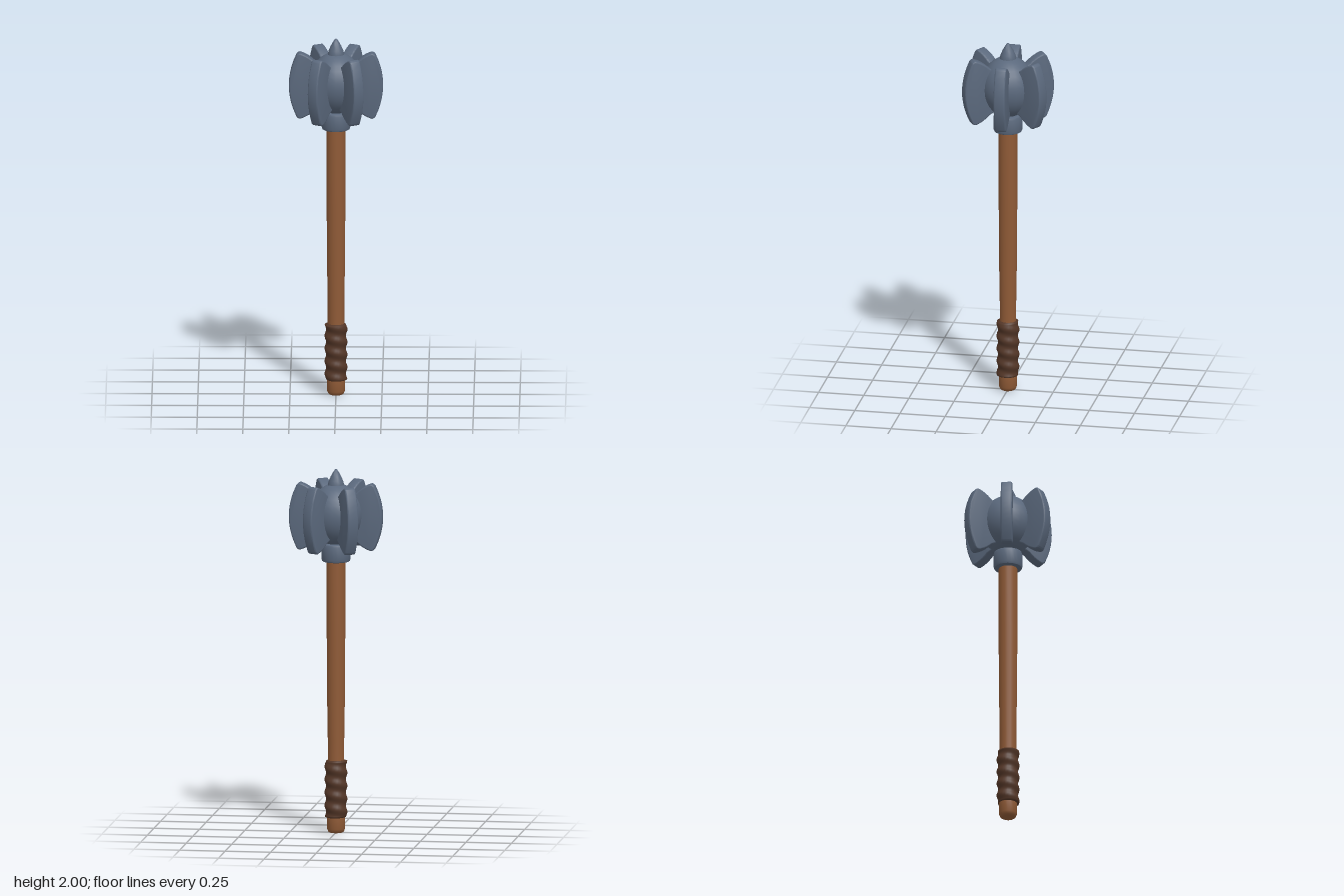
import * as THREE from 'three';
import { mergeVertices, toCreasedNormals } from 'three/addons/utils/BufferGeometryUtils.js';

const mat = (name, color) => {
  const m = new THREE.MeshStandardMaterial({ color });
  m.name = name;
  return m;
};

export function createModel() {
  const iron = mat('blue grey iron', 0x5a687c);
  const wood = mat('brown wood', 0x8f5a36);
  const leather = mat('dark leather', 0x533627);

  const group = new THREE.Group();
  group.name = 'mace';
  const add = (name, geometry, material) => {
    const mesh = new THREE.Mesh(geometry, material);
    mesh.name = name;
    group.add(mesh);
    return mesh;
  };
  const lathe = (points, segments) => toCreasedNormals(
    new THREE.LatheGeometry(points.map(([r, y]) => new THREE.Vector2(r, y)), segments), 0.75);

  // Shaft, slightly waisted above the grip, with a rounded butt
  add('shaft', lathe([[0, 0], [0.034, 0], [0.043, 0.006], [0.049, 0.022], [0.05, 0.08], [0.045, 0.3],
    [0.045, 0.5], [0.049, 0.75], [0.051, 1.1], [0.051, 1.52], [0, 1.52]], 20), wood);

  // Grip: a tube whose radius follows a spiral wrap, with ends turned in
  const bottom = 0.08, top = 0.4, turns = 4.5;
  let grip = new THREE.CylinderGeometry(1, 1, top - bottom, 24, 48, true);
  grip.translate(0, (top + bottom) / 2, 0);
  grip.deleteAttribute('uv');
  grip.deleteAttribute('normal');
  const p = grip.attributes.position;
  for (let i = 0; i < p.count; i++) {
    const t = (p.getY(i) - bottom) / (top - bottom);
    const angle = Math.atan2(p.getZ(i), p.getX(i));
    const atEnd = t < 0.001 || t > 0.999;
    const r = atEnd ? 0.043 : 0.058 + 0.0045 * Math.cos(angle - t * turns * Math.PI * 2);
    p.setX(i, r * Math.cos(angle));
    p.setZ(i, r * Math.sin(angle));
  }
  grip = mergeVertices(grip);
  grip.computeVertexNormals();
  add('grip', grip, leather);

  // Collar under the head
  add('collar', lathe([[0, 1.49], [0.067, 1.49], [0.075, 1.494], [0.079, 1.505],
    [0.079, 1.575], [0.075, 1.586], [0.067, 1.59], [0, 1.59]], 24), iron);

  // Egg-shaped core of the head
  const core = new THREE.SphereGeometry(1, 24, 16);
  core.scale(0.149, 0.17, 0.149);
  core.translate(0, 1.75, 0);
  add('headCore', core, iron);

  // Pointed finial
  add('topSpike', lathe([[0.046, 1.89], [0.045, 1.915], [0.039, 1.935], [0.029, 1.958],
    [0.017, 1.98], [0.007, 1.995], [0, 2]], 16), iron);

  // Six flared flanges around the core
  const shape = new THREE.Shape();
  shape.moveTo(0.08, -0.115);
  shape.lineTo(0.115, -0.135);
  shape.quadraticCurveTo(0.15, -0.17, 0.195, -0.184);
  shape.quadraticCurveTo(0.21, -0.182, 0.216, -0.168);
  shape.quadraticCurveTo(0.296, 0, 0.216, 0.168);
  shape.quadraticCurveTo(0.21, 0.182, 0.195, 0.184);
  shape.quadraticCurveTo(0.15, 0.17, 0.115, 0.135);
  shape.lineTo(0.08, 0.115);
  shape.closePath();
  const depth = 0.046, bevel = 0.008;
  const flange = new THREE.ExtrudeGeometry(shape, {
    depth, bevelThickness: bevel, bevelSize: bevel, bevelOffset: -bevel, bevelSegments: 3, curveSegments: 10,
  });
  flange.translate(0, 1.738, -depth / 2);
  const flangeGeometry = toCreasedNormals(flange, 0.75);
  for (let i = 0; i < 6; i++) {
    add(`flange${i + 1}`, flangeGeometry, iron).rotation.y = i * Math.PI / 3;
  }
  return group;
}
